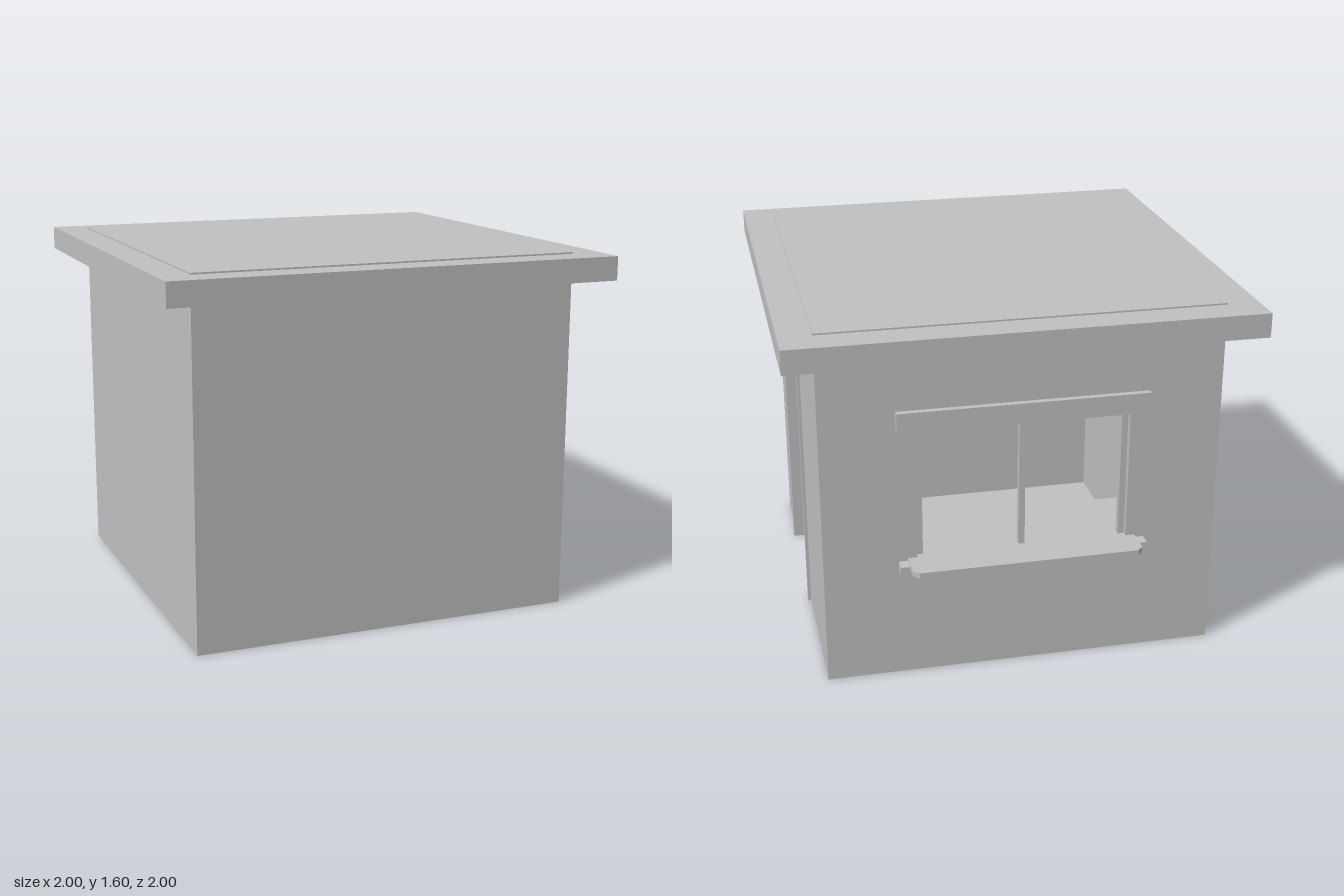
import * as THREE from 'three';

const H = 1.485;   // wall height
const OUT = 0.86;  // outer wall face
const T = 0.12;    // wall thickness
const IN = OUT - T;

export function createModel() {
  const group = new THREE.Group();
  const grey = new THREE.MeshStandardMaterial({ color: 0xc0c0c0 });
  grey.name = 'plain grey';

  const add = (name, geometry) => {
    const mesh = new THREE.Mesh(geometry, grey);
    mesh.name = name;
    group.add(mesh);
    return mesh;
  };
  // box given by its limits on each axis
  const box = (name, x0, x1, y0, y1, z0, z1) =>
    add(name, new THREE.BoxGeometry(x1 - x0, y1 - y0, z1 - z0)
      .translate((x0 + x1) / 2, (y0 + y1) / 2, (z0 + z1) / 2));
  const outline = (points) => new THREE.Shape(points.map(([x, y]) => new THREE.Vector2(x, y)));
  const extrude = (shape, depth) => new THREE.ExtrudeGeometry(shape, { depth, bevelEnabled: false });

  // solid walls
  box('frontWall', -OUT, OUT, 0, H, IN, OUT);
  box('rightWall', -OUT, -IN, 0, H, -IN, IN);

  // back wall with the serving window
  const W = 0.46, sillY = 0.53, headY = 1.15;
  const back = outline([[-OUT, 0], [OUT, 0], [OUT, H], [-OUT, H]]);
  back.holes.push(outline([[-W, sillY], [-W, headY], [W, headY], [W, sillY]]));
  add('backWall', extrude(back, T).translate(0, 0, -OUT));

  // left wall with the doorway open to the ground (shape x runs along -z)
  const doorFront = 0.49, doorBack = -0.14, doorTop = 1.26;
  const side = outline([
    [-IN, 0], [-doorFront, 0], [-doorFront, doorTop], [-doorBack, doorTop],
    [-doorBack, 0], [IN, 0], [IN, H], [-IN, H],
  ]);
  add('leftWall', extrude(side, T).rotateY(Math.PI / 2).translate(IN, 0, 0));

  // floor and roof
  box('floor', -IN, IN, 0, 0.02, -IN, IN);
  box('roofSlab', -1, 1, H, 1.59, -1, 1);
  box('roofPanel', -OUT, OUT, 1.59, 1.597, -OUT, OUT);

  // door trim
  box('doorJamb', OUT, 0.873, 0, doorTop, doorFront, 0.525);
  box('doorJamb', OUT, 0.873, 0, doorTop, -0.173, doorBack);
  box('doorLintel', OUT, 0.885, doorTop, 1.35, -0.215, 0.56);

  // window trim and posts
  box('windowLintel', -0.54, 0.54, 1.145, 1.235, -0.887, -OUT);
  box('windowSillTrim', -0.54, 0.54, 0.505, 0.545, -0.917, -OUT);
  for (const x of [-0.445, 0, 0.445]) {
    box('windowPost', x - 0.0135, x + 0.0135, 0.555, headY, -0.835, -0.805);
  }

  // serving shelf with clipped outer corners, running through the wall
  const c = 0.025;
  const shelf = outline([
    [-W, -IN], [-W, -OUT], [-0.5, -OUT], [-0.5, -1 + c], [-0.5 + c, -1],
    [0.5 - c, -1], [0.5, -1 + c], [0.5, -OUT], [W, -OUT], [W, -IN],
  ]);
  add('servingShelf', extrude(shelf, 0.025).rotateX(Math.PI / 2).translate(0, 0.557, 0));

  // inside counter along the back wall
  box('counterBase', -IN, IN, 0.02, 0.505, -IN, -0.45);
  box('counterTop', -IN, IN, 0.505, 0.527, -IN, -0.44);

  return group;
}
